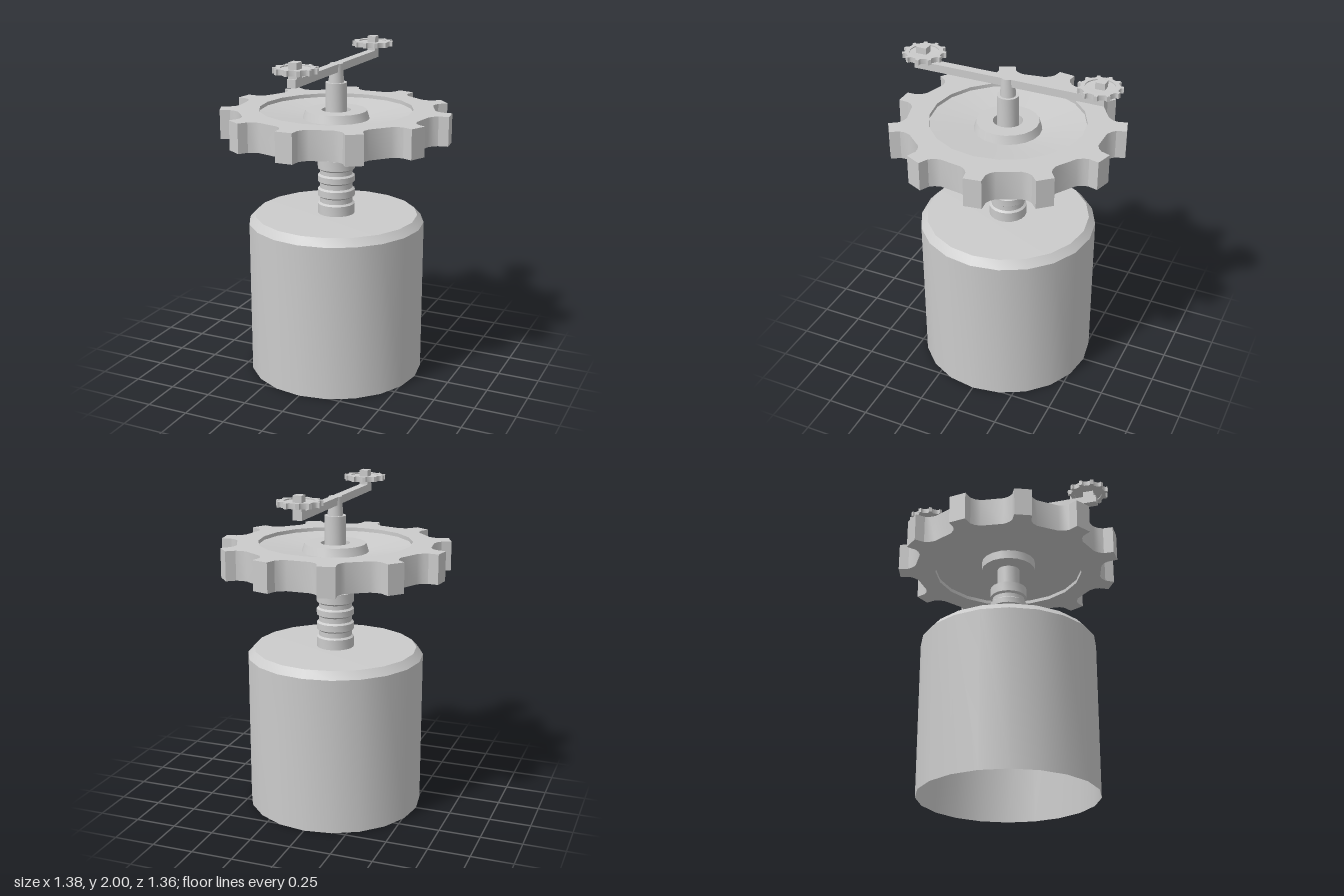
import * as THREE from 'three';
import { toCreasedNormals } from 'three/addons/utils/BufferGeometryUtils.js';

const SIDES = 20;
const TEETH = 11;
const material = new THREE.MeshStandardMaterial({ color: 0xcccccc, side: THREE.DoubleSide });

function part(name, geometry) {
  const mesh = new THREE.Mesh(toCreasedNormals(geometry, 0.45), material);
  mesh.name = name;
  return mesh;
}

function lathe(name, profile) {
  return part(name, new THREE.LatheGeometry(profile.map(([r, y]) => new THREE.Vector2(r, y)), SIDES));
}

// Point on a circle, angle measured from the front (+z once laid flat)
const polar = (r, a) => new THREE.Vector2(r * Math.sin(a), -r * Math.cos(a));

// Toothed ring of unit design size, centred on y = 0
function toothedRing(thickness) {
  const half = [[0.69, 4.3], [0.63, 5.0], [0.605, 6.6], [0.585, 9.6]];
  const tooth = [...half.map(([r, d]) => [r, -d]).reverse(), ...half];
  const outline = [];
  for (let i = 0; i < TEETH; i++) {
    for (const [r, d] of tooth) {
      outline.push(polar(r, (i / TEETH) * Math.PI * 2 + THREE.MathUtils.degToRad(d)));
    }
  }
  const shape = new THREE.Shape(outline);
  const hole = [];
  for (let i = 0; i < SIDES; i++) hole.push(polar(0.46, (-i / SIDES) * Math.PI * 2));
  shape.holes.push(new THREE.Path(hole));
  const geometry = new THREE.ExtrudeGeometry(shape, { depth: thickness, bevelEnabled: false });
  geometry.translate(0, 0, -thickness / 2).rotateX(-Math.PI / 2);
  return part('toothedRing', geometry);
}

export function createModel() {
  const model = new THREE.Group();

  // Open-bottomed drum with a chamfered top edge
  model.add(lathe('drumBody', [[0.535, 0], [0.535, 0.95], [0.495, 0.995], [0, 1]]));

  // Collar with three grooves
  const collar = [[0.113, 0.99]];
  for (const [low, high] of [[1.065, 1.105], [1.155, 1.195], [1.24, 1.275]]) {
    collar.push([0.113, low - 0.005], [0.1, low + 0.005], [0.1, high - 0.005], [0.113, high + 0.005]);
  }
  collar.push([0.113, 1.34], [0.06, 1.34]);
  model.add(lathe('groovedCollar', collar));

  // Stepped shaft
  model.add(lathe('shaft', [
    [0.07, 1.3], [0.07, 1.56], [0.064, 1.56], [0.064, 1.8], [0.046, 1.8], [0.04, 1.912], [0, 1.912],
  ]));

  // Large gear: toothed rim, dished web and hub
  const gear = new THREE.Group();
  gear.name = 'largeGear';
  gear.position.y = 1.555;
  gear.add(toothedRing(0.175));
  gear.add(lathe('webAndHub', [
    [0.07, -0.08], [0.168, -0.08], [0.168, -0.025], [0.46, -0.065], [0.46, 0.065],
    [0.2, 0.03], [0.184, 0.08], [0.088, 0.08], [0.088, 0], [0.06, 0],
  ]));
  model.add(gear);

  // Cross arm
  const arm = part('crossArm', new THREE.BoxGeometry(0.053, 0.047, 1.17));
  arm.position.y = 1.888;
  model.add(arm);

  // Small gears on posts at both ends of the arm
  for (const [name, z, postZ, postDepth] of [
    ['front', 0.53, 0.537, 0.066],
    ['back', -0.55, -0.557, 0.056],
  ]) {
    const small = new THREE.Group();
    small.name = name + 'SmallGear';
    small.position.set(0, 1.954, z);
    small.scale.setScalar(0.186);
    small.add(toothedRing(0.17));
    small.add(lathe('web', [[0, -0.03], [0.46, -0.05], [0.46, 0.05], [0, 0.03]]));
    model.add(small);

    const post = part(name + 'Post', new THREE.BoxGeometry(0.053, 0.11, postDepth));
    post.position.set(0, 1.945, postZ);
    model.add(post);
  }

  return model;
}
